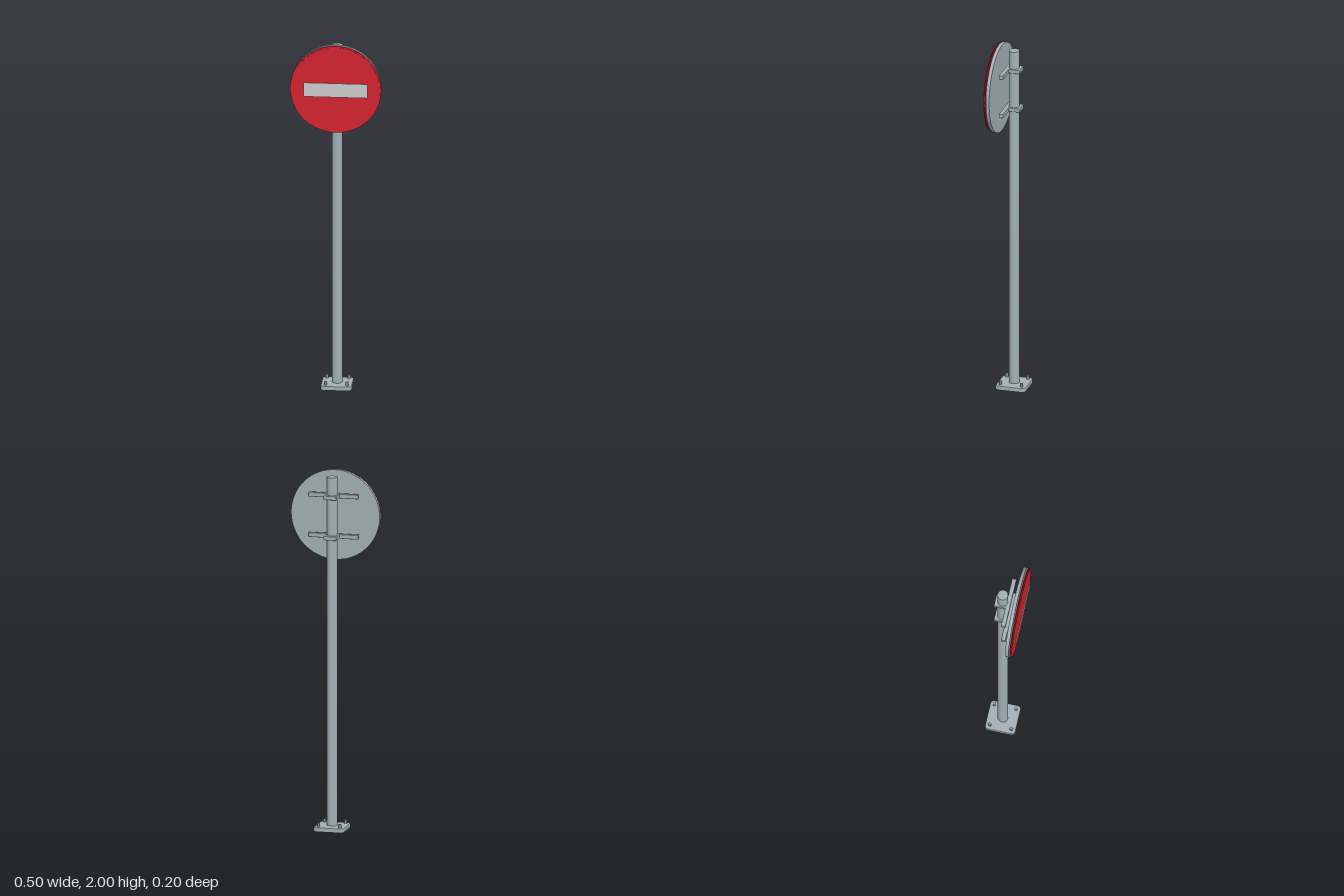
import * as THREE from 'three';
import { RoundedBoxGeometry } from 'three/addons/geometries/RoundedBoxGeometry.js';

export function createModel() {
  const model = new THREE.Group();
  model.name = 'roadSign';
  const metal = new THREE.MeshStandardMaterial({ color: 0xa3b0b6 });
  const red = new THREE.MeshStandardMaterial({ color: 0xd42430 });
  const grey = new THREE.MeshStandardMaterial({ color: 0xcccccc });
  const poleZ = -0.015, signY = 1.749;

  function add(name, geometry, material, x, y, z) {
    const mesh = new THREE.Mesh(geometry, material);
    mesh.name = name;
    mesh.position.set(x, y, z);
    model.add(mesh);
    return mesh;
  }

  // Disc facing the front, between two depths
  function disc(name, radius, back, front, material) {
    const geometry = new THREE.CylinderGeometry(radius, radius, front - back, 64);
    geometry.rotateX(Math.PI / 2);
    add(name, geometry, material, 0, signY, (front + back) / 2);
  }

  // Base plate with rounded corners and softened edges
  const h = 0.075, r = 0.01;
  const outline = new THREE.Shape();
  outline.absarc(h - r, h - r, r, 0, Math.PI / 2);
  outline.absarc(-h + r, h - r, r, Math.PI / 2, Math.PI);
  outline.absarc(-h + r, -h + r, r, Math.PI, Math.PI * 1.5);
  outline.absarc(h - r, -h + r, r, Math.PI * 1.5, Math.PI * 2);
  const plate = new THREE.ExtrudeGeometry(outline, {
    depth: 0.017, bevelThickness: 0.004, bevelSize: 0.004, bevelOffset: 0.006,
    bevelSegments: 2, curveSegments: 6,
  });
  plate.rotateX(-Math.PI / 2);
  add('basePlate', plate, metal, 0, 0.004, poleZ);

  // Hexagonal anchor bolts
  for (const x of [-0.06, 0.06]) {
    for (const z of [-0.06, 0.06]) {
      const bolt = new THREE.CylinderGeometry(0.009, 0.009, 0.022, 6).toNonIndexed();
      bolt.computeVertexNormals();
      add('anchorBolt', bolt, metal, x, 0.034, poleZ + z);
    }
  }

  // Pole
  add('pole', new THREE.CylinderGeometry(0.029, 0.029, 1.955, 32), metal, 0, 0.9975, poleZ);

  // Pole clamps and the crossbars behind the sign
  for (const y of [1.864, 1.638]) {
    add('poleClamp', new RoundedBoxGeometry(0.073, 0.022, 0.08, 2, 0.002), metal, 0, y, -0.018);
    add('crossbar', new RoundedBoxGeometry(0.284, 0.024, 0.025, 2, 0.003), metal, 0, y, 0.018);
  }

  // Sign: backing panel, red rim, red face and horizontal bar
  disc('backingPanel', 0.251, 0.053, 0.072, metal);
  disc('redRim', 0.25, 0.077, 0.082, red);
  disc('redFace', 0.243, 0.086, 0.088, red);
  add('signBar', new THREE.BoxGeometry(0.35, 0.08, 0.002), grey, 0, signY, 0.097);

  return model;
}
